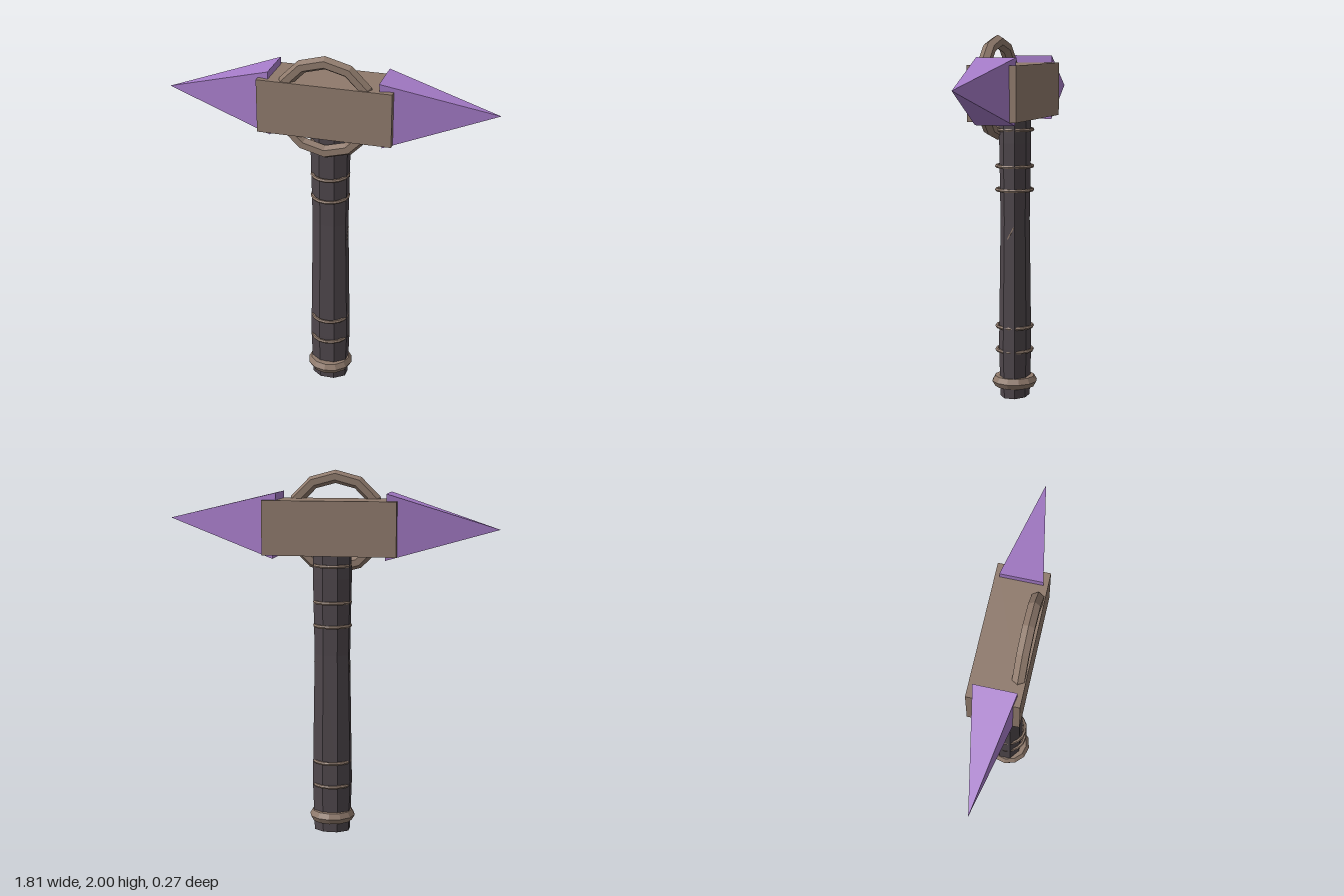
import * as THREE from 'three';

const mat = (name, color) => {
  const m = new THREE.MeshStandardMaterial({ color, flatShading: true });
  m.name = name;
  return m;
};

export function createModel() {
  const group = new THREE.Group();
  const crystal = mat('purple crystal', 0xa67cc9);
  const bronze = mat('dull bronze', 0x8f7a6c);
  const wood = mat('dark wood', 0x4f474c);

  const add = (name, geometry, material, x = 0, y = 0, z = 0) => {
    const mesh = new THREE.Mesh(geometry, material);
    mesh.name = name;
    mesh.position.set(x, y, z);
    group.add(mesh);
    return mesh;
  };

  // Eight-sided shaft, flat to the front, slightly waisted: [half width, y]
  const profile = [[0, 0], [0.095, 0], [0.105, 0.28], [0.094, 1.0], [0.102, 1.42], [0.1, 1.6], [0, 1.6]]
    .map(([r, y]) => new THREE.Vector2(r / Math.cos(Math.PI / 8), y));
  const shaft = new THREE.LatheGeometry(profile, 8, Math.PI / 8);
  shaft.scale(1, 1, 0.76);
  add('shaft', shaft, wood, 0, 0, -0.003);

  // Small nicks on the sides of the shaft
  for (const side of [-1, 1]) {
    const nick = add('shaftNick', new THREE.BoxGeometry(0.004, 0.075, 0.006), bronze, side * 0.095, 0.928, -0.01);
    nick.rotation.x = -0.5;
  }

  // Thin bands and the heavier pommel ring
  const ring = (name, y, radius, tube, sides, segments) => {
    const g = new THREE.TorusGeometry(radius, tube, sides, segments);
    g.rotateX(Math.PI / 2);
    add(name, g, bronze, 0, y, 0);
  };
  for (const y of [0.263, 0.397, 1.16, 1.29, 1.49]) ring('shaftBand', y, 0.098, 0.01, 6, 16);
  ring('pommelRing', 0.085, 0.093, 0.034, 6, 12);

  // Head block and the hoop set into its front
  add('headBlock', new THREE.BoxGeometry(0.73, 0.295, 0.272), bronze, 0, 1.6975, 0);
  add('headHoop', new THREE.TorusGeometry(0.25, 0.036, 6, 12), bronze, 0, 1.715, 0.098);

  // Pyramid spikes, each base overlapping the block, tip slightly off centre
  const spike = (name, side, topX, bottomX, tipY) => {
    const h = 0.112;
    const base = [[topX, 1.885, h], [topX, 1.885, -h], [bottomX, 1.53, -h], [bottomX, 1.53, h]];
    if (side < 0) base.reverse();
    const tip = [side * 0.905, tipY, 0];
    const points = [];
    for (let i = 0; i < 4; i++) points.push(...base[i], ...tip, ...base[(i + 1) % 4]);
    points.push(...base[0], ...base[1], ...base[2], ...base[0], ...base[2], ...base[3]);
    // Corner order is flipped so the faces look outward
    const g = new THREE.BufferGeometry();
    g.setAttribute('position', new THREE.Float32BufferAttribute(points, 3));
    g.computeVertexNormals();
    add(name, g, crystal);
  };
  spike('leftSpike', 1, 0.29, 0.31, 1.737);
  spike('rightSpike', -1, -0.308, -0.302, 1.695);

  return group;
}
